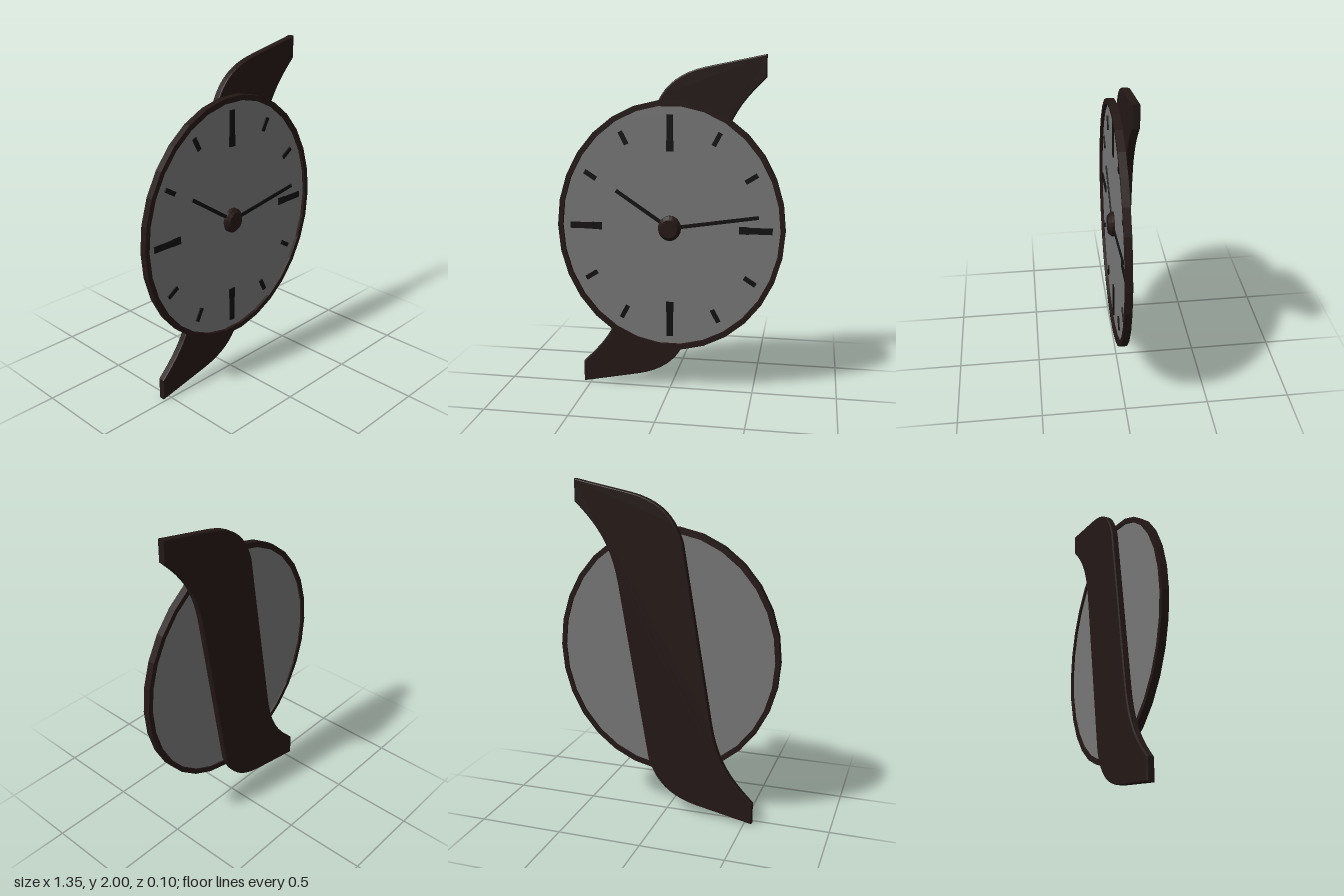
import * as THREE from 'three';

const RX = 0.675, RY = 0.745, SIDES = 30;
const paint = (color) => new THREE.MeshStandardMaterial({ color, flatShading: true });

// Points of an oval polygon; k is the size relative to the rim's outside
function oval(k) {
  return Array.from({ length: SIDES }, (_, i) => {
    const a = (i / SIDES) * Math.PI * 2;
    return new THREE.Vector2(RX * k * Math.cos(a), RY * k * Math.sin(a));
  });
}

// Extrudes a shape so that it fills z0..z1
function slab(shape, z0, z1, bevel = 0) {
  const geometry = new THREE.ExtrudeGeometry(shape, {
    depth: z1 - z0 - 2 * bevel, bevelEnabled: bevel > 0, bevelThickness: bevel,
    bevelSize: bevel, bevelOffset: -bevel, bevelSegments: 2, curveSegments: 10,
  });
  return geometry.translate(0, 0, z0 + bevel);
}

export function createModel() {
  const group = new THREE.Group();
  const brown = paint(0x241816), grey = paint(0x777777), black = paint(0x121010);

  function add(name, geometry, material) {
    const mesh = new THREE.Mesh(geometry, material);
    mesh.name = name;
    mesh.position.y = 1;
    group.add(mesh);
    return mesh;
  }

  // Flat bar between two points on the dial
  function bar(name, x0, y0, x1, y1, width, z0, z1) {
    const dx = x1 - x0, dy = y1 - y0;
    const geometry = new THREE.BoxGeometry(Math.hypot(dx, dy), width, z1 - z0);
    geometry.rotateZ(Math.atan2(dy, dx));
    geometry.translate((x0 + x1) / 2, (y0 + y1) / 2, (z0 + z1) / 2);
    add(name, geometry, black);
  }

  // Rim and dial
  const ring = new THREE.Shape(oval(1));
  ring.holes.push(new THREE.Path(oval(0.957)));
  add('rim', slab(ring, -0.012, 0.03), brown);
  add('dial', slab(new THREE.Shape(oval(0.965)), -0.002, 0.012), grey);

  // S-shaped strap: one edge is traced, then repeated turned by half a circle
  const strap = new THREE.Shape();
  strap.moveTo(0.545, 1);
  for (const s of [1, -1]) {
    strap.lineTo(s * 0.545, s * 0.87);
    strap.bezierCurveTo(s * 0.42, s * 0.75, s * 0.325, s * 0.64, s * 0.285, s * 0.4);
    strap.lineTo(s * 0.105, s * -0.66);
    strap.bezierCurveTo(s * 0.06, s * -0.8, s * -0.02, s * -0.89, s * -0.2, s * -0.93);
    strap.lineTo(s * -0.545, s * -1);
  }
  add('strap', slab(strap, -0.054, -0.012, 0.007), brown);

  // Hour marks, long at the quarters
  for (let i = 0; i < 12; i++) {
    const a = (i * Math.PI) / 6, long = i % 3 === 0;
    const c = RX * Math.cos(a), s = RY * Math.sin(a);
    const [inner, outer] = long ? [0.605, 0.89] : [0.755, 0.87];
    bar('hourMark', c * inner, s * inner, c * outer, s * outer, long ? 0.037 : 0.027, 0.01, 0.02);
    if (long) bar('hourMarkFoot', c * inner, s * inner, c * 0.69, s * 0.69, 0.043, 0.01, 0.019);
  }

  // Hands
  bar('hourHand', 0, 0, -0.32, 0.215, 0.021, 0.018, 0.026);
  bar('minuteHand', 0, 0, 0.52, 0.08, 0.021, 0.018, 0.026);

  // Hub with a tapered cap
  const profile = [[0, 0.005], [0.1, 0.005], [0.1, 0.03], [0.072, 0.05], [0, 0.05]];
  const hub = new THREE.LatheGeometry(profile.map(([r, h]) => new THREE.Vector2(r, h)), 20);
  hub.rotateX(Math.PI / 2).scale(RX, RY, 1);
  add('hub', hub, brown);

  return group;
}
